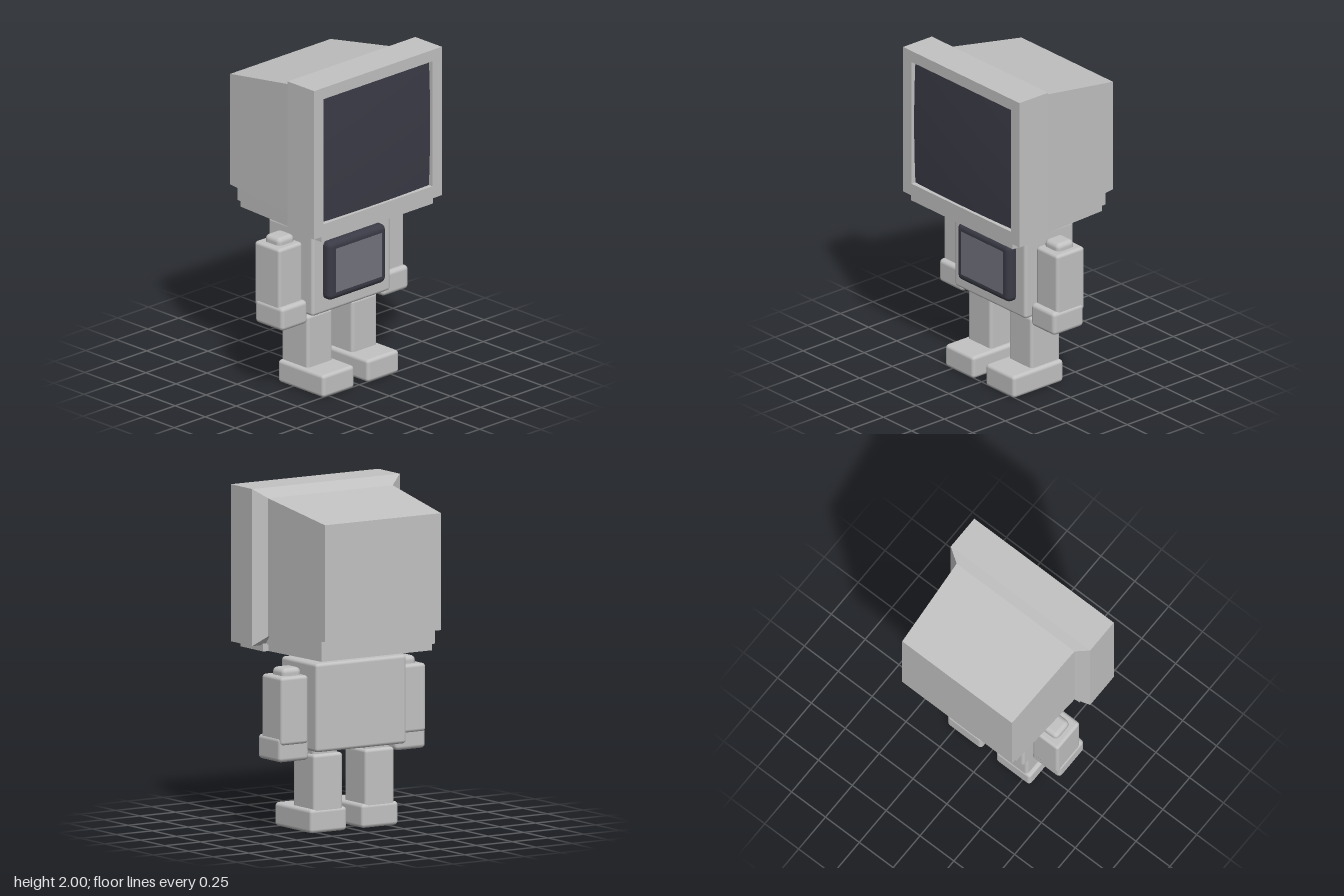
import * as THREE from 'three';
import { RoundedBoxGeometry } from 'three/addons/geometries/RoundedBoxGeometry.js';

const casing = new THREE.MeshStandardMaterial({ color: 0xc2c2c2 });
casing.name = 'light grey casing';
const glass = new THREE.MeshStandardMaterial({ color: 0x3b3b47 });
glass.name = 'dark screen glass';
const display = new THREE.MeshStandardMaterial({ color: 0x74747f });
display.name = 'chest display grey';

function addMesh(parent, name, geometry, material = casing) {
  const mesh = new THREE.Mesh(geometry, material);
  mesh.name = name;
  parent.add(mesh);
  return mesh;
}

// Rounded block given by its extents on each axis
function block(parent, name, [x0, x1], [y0, y1], [z0, z1], radius = 0.02, material = casing) {
  const geometry = new RoundedBoxGeometry(x1 - x0, y1 - y0, z1 - z0, 2, radius);
  geometry.translate((x0 + x1) / 2, (y0 + y1) / 2, (z0 + z1) / 2);
  return addMesh(parent, name, geometry, material);
}

// Flat-sided solid through rectangles [z, halfWidth, bottom, top], front to back
function loft(sections) {
  const rings = sections.map(([z, w, b, t]) => [[-w, b, z], [w, b, z], [w, t, z], [-w, t, z]]);
  const points = [];
  const quad = (a, b, c, d) => points.push(...a, ...b, ...c, ...a, ...c, ...d);
  for (let r = 0; r < rings.length - 1; r++) {
    const front = rings[r], back = rings[r + 1];
    for (let i = 0; i < 4; i++) {
      const j = (i + 1) % 4;
      quad(front[i], back[i], back[j], front[j]);
    }
  }
  const first = rings[0], last = rings[rings.length - 1];
  quad(first[0], first[1], first[2], first[3]);
  quad(last[0], last[3], last[2], last[1]);
  const geometry = new THREE.BufferGeometry();
  geometry.setAttribute('position', new THREE.Float32BufferAttribute(points, 3));
  geometry.computeVertexNormals();
  return geometry;
}

function rectangle(path, w, b, t) {
  path.moveTo(-w, b);
  path.lineTo(w, b);
  path.lineTo(w, t);
  path.lineTo(-w, t);
  path.closePath();
  return path;
}

function createHead() {
  const head = new THREE.Group();
  head.name = 'monitorHead';

  // Bezel frame with the screen opening
  const frame = rectangle(new THREE.Shape(), 0.515, 1.08, 2);
  frame.holes.push(rectangle(new THREE.Path(), 0.44, 1.155, 1.93));
  const bezel = new THREE.ExtrudeGeometry(frame, { depth: 0.22, bevelEnabled: false });
  bezel.translate(0, 0, 0.185);
  addMesh(head, 'bezel', bezel);

  // Slightly bulging glass set into the bezel
  const screen = new THREE.PlaneGeometry(0.88, 0.775, 16, 16);
  const p = screen.attributes.position;
  for (let i = 0; i < p.count; i++) {
    const u = p.getX(i) / 0.44, v = p.getY(i) / 0.3875;
    p.setZ(i, 0.395 - 0.01 * (u * u + v * v));
  }
  screen.translate(0, 1.5425, 0);
  screen.computeVertexNormals();
  addMesh(head, 'screen', screen, glass);

  // Chamfer and tapered tube housing
  addMesh(head, 'rearHousing', loft([
    [0.185, 0.515, 1.08, 2], [0.14, 0.435, 1.135, 1.945], [-0.405, 0.405, 1.17, 1.855],
  ]));

  // Stepped base below the housing
  addMesh(head, 'upperBase', loft([[0.17, 0.425, 1.085, 1.19], [-0.355, 0.395, 1.085, 1.19]]));
  addMesh(head, 'lowerBase', loft([
    [0.4, 0.45, 1.045, 1.09], [0.17, 0.45, 1.045, 1.09],
    [0.165, 0.415, 1.045, 1.09], [-0.34, 0.385, 1.045, 1.09],
  ]));
  return head;
}

// s = 1 for the left side, -1 for the right
function createLimbs(s) {
  const side = s > 0 ? 'left' : 'right';
  const span = (a, b) => (s > 0 ? [a, b] : [-b, -a]);

  const arm = new THREE.Group();
  arm.name = side + 'Arm';
  block(arm, side + 'Shoulder', span(0.335, 0.465), [0.88, 0.975], [-0.065, 0.065], 0.03);
  block(arm, side + 'ArmBlock', span(0.315, 0.505), [0.53, 0.93], [-0.105, 0.107]);
  block(arm, side + 'Hand', span(0.302, 0.512), [0.43, 0.575], [-0.095, 0.138], 0.025);

  const leg = new THREE.Group();
  leg.name = side + 'Leg';
  block(leg, side + 'Hip', span(0.097, 0.268), [0.42, 0.51], [-0.085, 0.085]);
  block(leg, side + 'LegBlock', span(0.078, 0.282), [0.11, 0.46], [-0.11, 0.112]);
  block(leg, side + 'Foot', span(0.052, 0.307), [0, 0.14], [-0.115, 0.268], 0.022);
  return [arm, leg];
}

export function createModel() {
  const model = new THREE.Group();
  model.name = 'monitorRobot';
  model.add(createHead());

  const neck = new THREE.BoxGeometry(0.14, 0.08, 0.14);
  neck.translate(0, 1.025, 0);
  addMesh(model, 'neck', neck);

  // Torso with the chest monitor
  block(model, 'torso', [-0.315, 0.315], [0.485, 1.005], [-0.185, 0.187]);
  block(model, 'chestFrame', [-0.232, 0.232], [0.572, 0.935], [0.12, 0.245], 0.035, glass);
  const panel = new THREE.BoxGeometry(0.37, 0.27, 0.006);
  panel.translate(0, 0.755, 0.244);
  addMesh(model, 'chestDisplay', panel, display);

  for (const s of [1, -1]) model.add(...createLimbs(s));
  return model;
}
